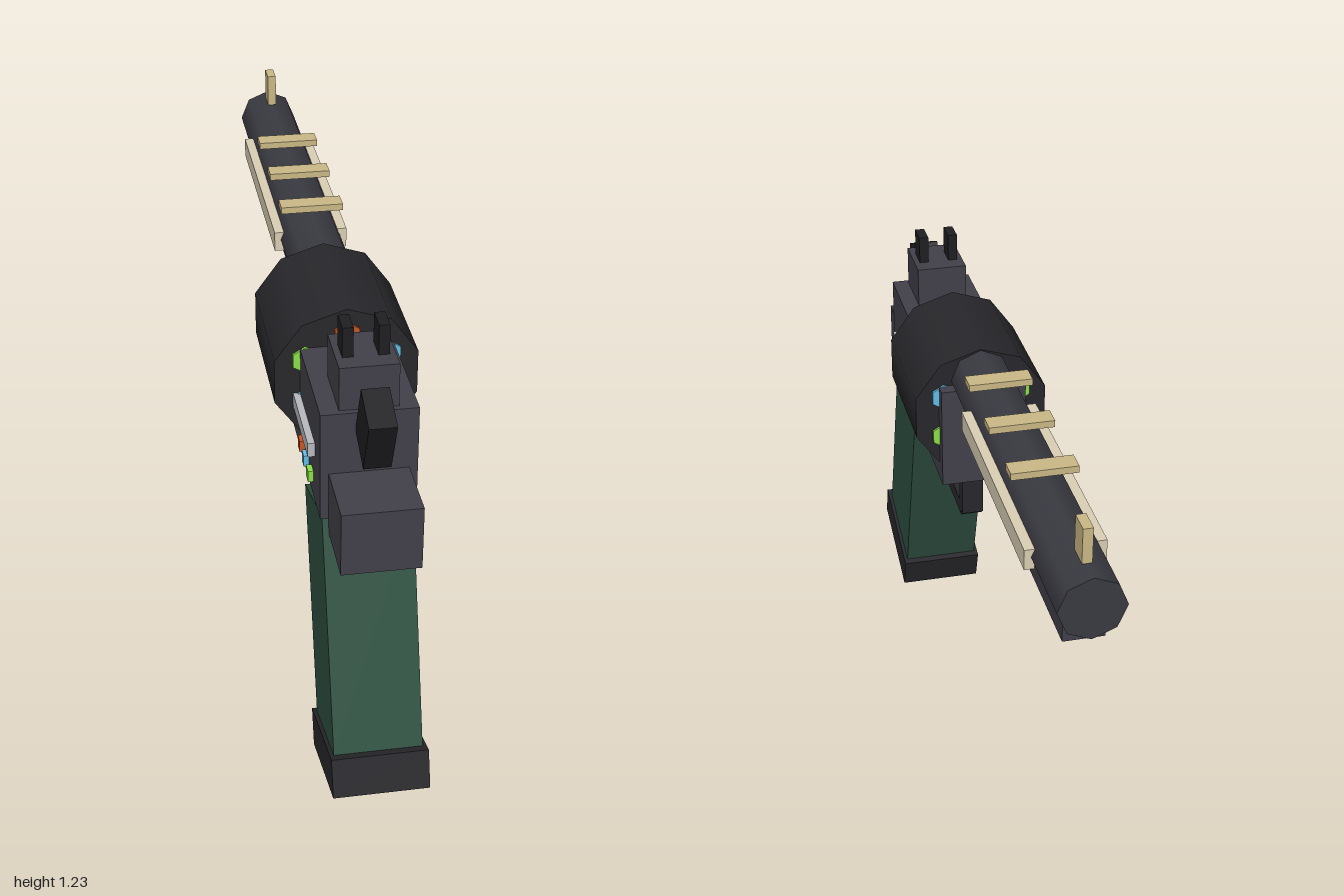
import * as THREE from 'three';

const mat = (color) => new THREE.MeshStandardMaterial({ color });

export function createModel() {
  const model = new THREE.Group();
  const steel = mat(0x42414a), barrelSteel = mat(0x3a3a42), dark = mat(0x28272b), black = mat(0x1f1f22);
  const green = mat(0x2f5142), brass = mat(0xcbb987), ivory = mat(0xdbd0b5), silver = mat(0xb8bac0);
  const lime = mat(0x8be04a), blue = mat(0x62bfe8), orange = mat(0xcc5522);

  const add = (name, geometry, material, x, y, z, tilt = 0) => {
    const mesh = new THREE.Mesh(geometry, material);
    mesh.name = name;
    mesh.position.set(x, y, z);
    mesh.rotation.x = tilt;
    model.add(mesh);
    return mesh;
  };
  const box = (name, material, [w, h, d], [x, y, z], tilt) =>
    add(name, new THREE.BoxGeometry(w, h, d), material, x, y, z, tilt);
  // Prism lying along z
  const rod = (name, material, radius, length, sides, [x, y, z]) =>
    add(name, new THREE.CylinderGeometry(radius, radius, length, sides), material, x, y, z, Math.PI / 2);

  // Frame and rear block
  box('frame', steel, [0.23, 0.285, 0.71], [0, 0.907, 0.405]);
  box('rearBlock', steel, [0.19, 0.165, 0.27], [0, 0.807, 0.795]);

  // Grip
  box('grip', green, [0.22, 0.61, 0.275], [0, 0.437, 0.717], -0.314);
  box('gripBase', dark, [0.24, 0.1, 0.32], [0, 0.102, 0.83], -0.314);

  // Drum with six coloured chambers
  rod('drum', dark, 0.187, 0.362, 10, [0, 0.96, 0.267]);
  [blue, orange, lime, blue, orange, lime].forEach((material, i) => {
    const a = Math.PI / 6 + (i * Math.PI) / 3;
    rod('chamber', material, 0.035, 0.376, 6,
      [0.118 * Math.cos(a), 0.96 + 0.118 * Math.sin(a), 0.267]);
  });

  // Barrel, lower rail and top ribs
  rod('barrel', barrelSteel, 0.081, 1.1, 8, [0, 1.063, -0.45]);
  box('barrelRail', steel, [0.1, 0.07, 1.0], [0, 0.975, -0.44]);
  for (const z of [-0.12, -0.34, -0.56]) box('barrelRib', brass, [0.165, 0.018, 0.053], [0, 1.161, z]);

  // Sights and hammer
  box('frontSight', brass, [0.024, 0.09, 0.06], [0, 1.19, -0.915]);
  box('rearSightBlock', steel, [0.14, 0.12, 0.16], [0, 1.1, 0.665]);
  box('hammer', black, [0.065, 0.155, 0.11], [0, 1.05, 0.833], 0.4);

  // Paired side details
  for (const s of [-1, 1]) {
    box('rearSightPost', black, [0.026, 0.08, 0.064], [s * 0.042, 1.196, 0.666]);
    box('barrelInlay', ivory, [0.025, 0.053, 0.655], [s * 0.085, 1.058, -0.45]);
    box('sideStrip', silver, [0.03, 0.037, 0.4], [s * 0.117, 0.907, 0.48]);
    [lime, blue, orange].forEach((material, i) =>
      box('button', material, [0.02, 0.03, 0.03], [s * 0.118, 0.818, 0.643 - i * 0.067]));
  }

  // Trigger and guard
  box('trigger', brass, [0.03, 0.1, 0.03], [0, 0.675, 0.4], 0.32);
  box('guardBar', dark, [0.06, 0.042, 0.275], [0, 0.576, 0.352]);
  box('guardPost', dark, [0.06, 0.165, 0.04], [0, 0.652, 0.215]);

  return model;
}
